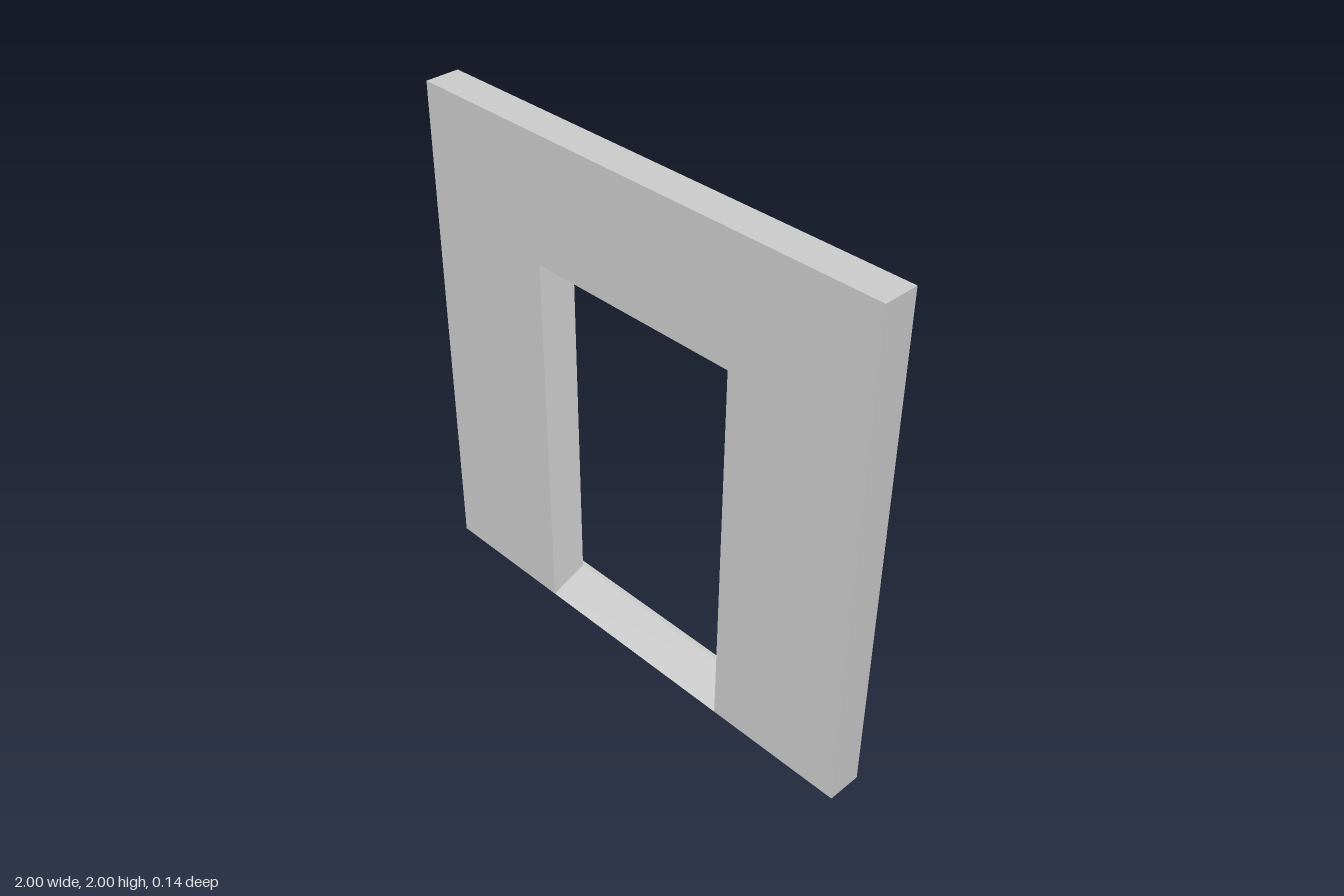
import * as THREE from 'three';

// rectangular ring of corners: half width, bottom, top, depth
const ring = (w, y0, y1, z) => [[-w, y0, z], [w, y0, z], [w, y1, z], [-w, y1, z]]
  .map(p => new THREE.Vector3(...p));

// four flat bands joining one ring to the next, leaving out sides with no area
function band(name, a, b, material) {
  const pos = [];
  const tri = (...pts) => {
    if (new THREE.Triangle(...pts).getArea() > 1e-6) pts.forEach(p => pos.push(p.x, p.y, p.z));
  };
  for (let i = 0; i < 4; i++) {
    const j = (i + 1) % 4;
    tri(a[i], a[j], b[j]);
    tri(a[i], b[j], b[i]);
  }
  const geometry = new THREE.BufferGeometry();
  geometry.setAttribute('position', new THREE.Float32BufferAttribute(pos, 3));
  geometry.computeVertexNormals();
  const mesh = new THREE.Mesh(geometry, material);
  mesh.name = name;
  return mesh;
}

export function createModel() {
  const group = new THREE.Group();
  group.name = 'wallWithDoorway';
  const material = new THREE.MeshStandardMaterial({ color: 0xcccccc, flatShading: true });
  const front = 0.068, back = -0.068, recess = -0.05;

  const outerFront = ring(1, 0, 2, front);
  const doorFront = ring(0.44, 0, 1.51, front);
  const doorBack = ring(0.4, 0.105, 1.573, recess);
  const recessFloor = ring(0.9, 0.105, 1.9, recess);
  const recessRim = ring(0.9, 0.105, 1.9, back);
  const outerBack = ring(1, 0, 2, back);

  group.add(
    band('frontFace', outerFront, doorFront, material),
    // splayed jambs, sloping sill and soffit
    band('doorwayReveal', doorFront, doorBack, material),
    band('recessedBackPanel', doorBack, recessFloor, material),
    band('recessLip', recessFloor, recessRim, material),
    band('backRim', recessRim, outerBack, material),
    band('outerEdges', outerBack, outerFront, material),
  );
  return group;
}
